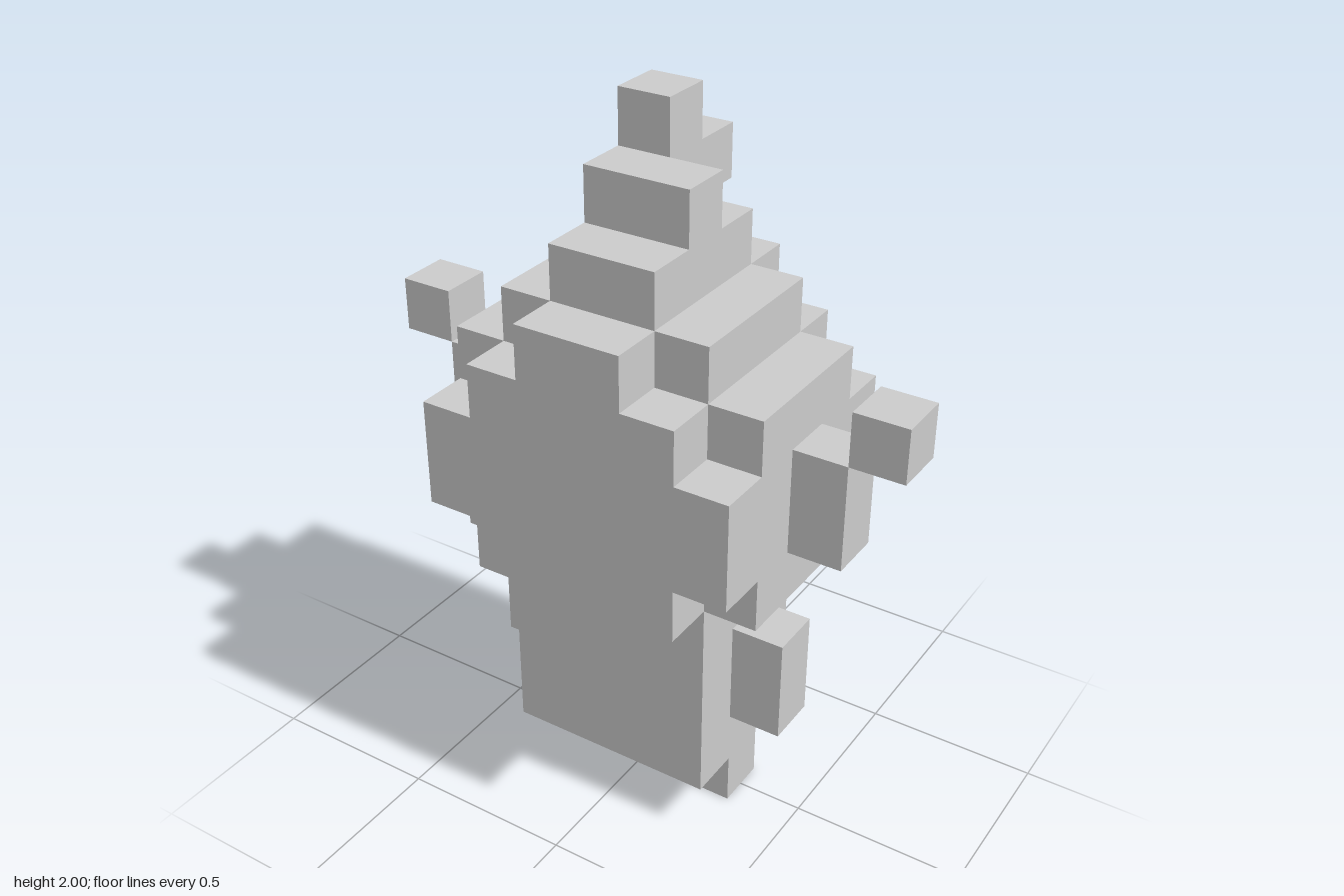
import * as THREE from 'three';

const U = 2 / 13; // edge of one cube
const material = new THREE.MeshStandardMaterial({ color: 0xcccccc, flatShading: true });

export function createModel() {
  const model = new THREE.Group();

  const add = (name, geometry) => {
    const mesh = new THREE.Mesh(geometry, material);
    mesh.name = name;
    model.add(mesh);
    return mesh;
  };

  // Box given by its limits, in cube units
  const block = (name, x0, x1, y0, y1, z0, z1) =>
    add(name, new THREE.BoxGeometry((x1 - x0) * U, (y1 - y0) * U, (z1 - z0) * U))
      .position.set((x0 + x1) / 2 * U, (y0 + y1) / 2 * U, (z0 + z1) / 2 * U);

  // Slab with a stepped outline; rows are [bottom, top, left, right] from low to high
  const slab = (name, rows, z0, z1) => {
    const points = [];
    rows.forEach(([y0, y1, , x1]) => points.push([x1, y0], [x1, y1]));
    [...rows].reverse().forEach(([y0, y1, x0]) => points.push([x0, y1], [x0, y0]));
    const shape = new THREE.Shape(points.map(([x, y]) => new THREE.Vector2(x * U, y * U)));
    const geometry = new THREE.ExtrudeGeometry(shape, { depth: (z1 - z0) * U, bevelEnabled: false });
    add(name, geometry).position.z = z0 * U;
  };

  // Body
  block('body', -2, 2, 1, 5, -1.5, 1.5);

  // Head: face, core and back of head (the back lacks one step on one side)
  slab('face', [[5, 6, -2, 2], [6, 8, -3, 3], [8, 9, -2, 2], [9, 10, -1, 1]], 1.5, 2.5);
  slab('headCore', [[5, 9, -3, 3], [9, 10, -2, 2]], -1.5, 1.5);
  slab('headBack', [[5, 6, -2, 2], [6, 8, -2, 3], [8, 9, -2, 2], [9, 10, -1, 1]], -2.5, -1.5);

  // Paired parts
  for (const [side, s] of [['left', 1], ['right', -1]]) {
    const pair = (name, a, b, y0, y1) =>
      block(side + name, Math.min(a * s, b * s), Math.max(a * s, b * s), y0, y1, -0.5, 0.5);
    pair('Foot', 1, 2, 0, 1);
    pair('Arm', 2, 3, 2, 4);
    pair('Ear', 3, 4, 6, 8);
    pair('EarTip', 4, 5, 8, 9);
  }

  // Stepped, crooked crest
  block('crestBase', -1, 1, 10, 11, -1.5, 1.5);
  block('crestStep', -1, 1, 11, 12, -0.5, 0.5);
  block('crestPeak', -1, 0, 11, 13, -1.5, -0.5);
  block('crestTail', -1, 0, 11, 12, -2.5, -1.5);

  return model;
}
